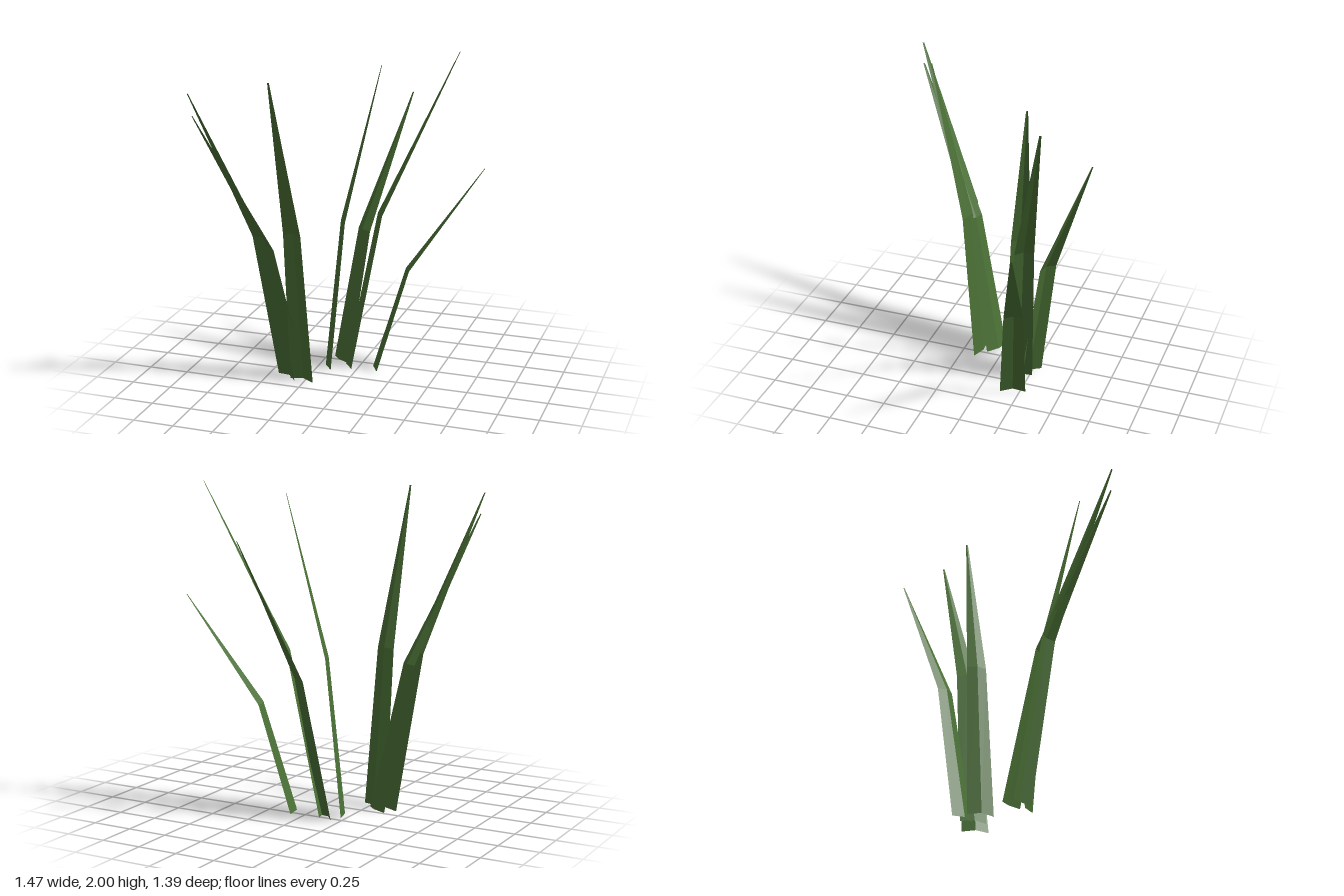
import * as THREE from 'three';

// Each blade: base [x, z], bend [x, y, z], tip [x, y, z]
const BLADES = [
  { base: [-0.378, 0.122], bend: [-0.482, 0.95, 0.288], tip: [-0.73, 1.9, 0.69] },
  { base: [-0.33, 0.054], bend: [-0.443, 0.88, 0.245], tip: [-0.71, 1.77, 0.68] },
  { base: [-0.27, 0.145], bend: [-0.29, 0.97, 0.235], tip: [-0.33, 1.945, 0.475] },
  { base: [-0.187, -0.138], bend: [-0.103, 0.96, -0.18], tip: [0.107, 1.93, -0.278] },
  { base: [-0.138, -0.25], bend: [-0.033, 0.85, -0.38], tip: [0.187, 1.685, -0.693] },
  { base: [-0.07, -0.195], bend: [0.107, 1.0, -0.272], tip: [0.535, 2.0, -0.495] },
  { base: [0.107, -0.208], bend: [0.293, 0.66, -0.272], tip: [0.73, 1.31, -0.403] },
];
const HALF_WIDTHS = [0.08, 0.06, 0.006];
const FOLDS = [0.022, 0.017, 0.002];

// Folded strip: left edge, raised midrib and right edge at three heights
function bladeGeometry({ base, bend, tip }) {
  const centres = [new THREE.Vector3(base[0], 0, base[1]), new THREE.Vector3(...bend), new THREE.Vector3(...tip)];
  const heading = centres[2].clone().sub(centres[0]).setY(0).normalize();
  const side = new THREE.Vector3(-heading.z, 0, heading.x);
  const positions = [];
  const index = [];
  centres.forEach((centre, row) => {
    for (const s of [-1, 0, 1]) {
      const p = centre.clone().addScaledVector(side, s * HALF_WIDTHS[row]);
      if (s === 0) {
        p.addScaledVector(heading, -FOLDS[row]);
        p.y += FOLDS[row] * 0.3;
      }
      positions.push(p.x, p.y, p.z);
    }
  });
  for (let row = 0; row < 2; row++) {
    for (let col = 0; col < 2; col++) {
      const a = row * 3 + col;
      index.push(a, a + 1, a + 4, a, a + 4, a + 3);
    }
  }
  const geometry = new THREE.BufferGeometry();
  geometry.setAttribute('position', new THREE.Float32BufferAttribute(positions, 3));
  geometry.setIndex(index);
  geometry.computeVertexNormals();
  return geometry;
}

export function createModel() {
  const model = new THREE.Group();
  model.name = 'grassTuft';
  const green = new THREE.MeshStandardMaterial({ color: 0x4a7035, flatShading: true, side: THREE.DoubleSide });
  BLADES.forEach((blade, i) => {
    const mesh = new THREE.Mesh(bladeGeometry(blade), green);
    mesh.name = `grassBlade${i + 1}`;
    model.add(mesh);
  });
  return model;
}
